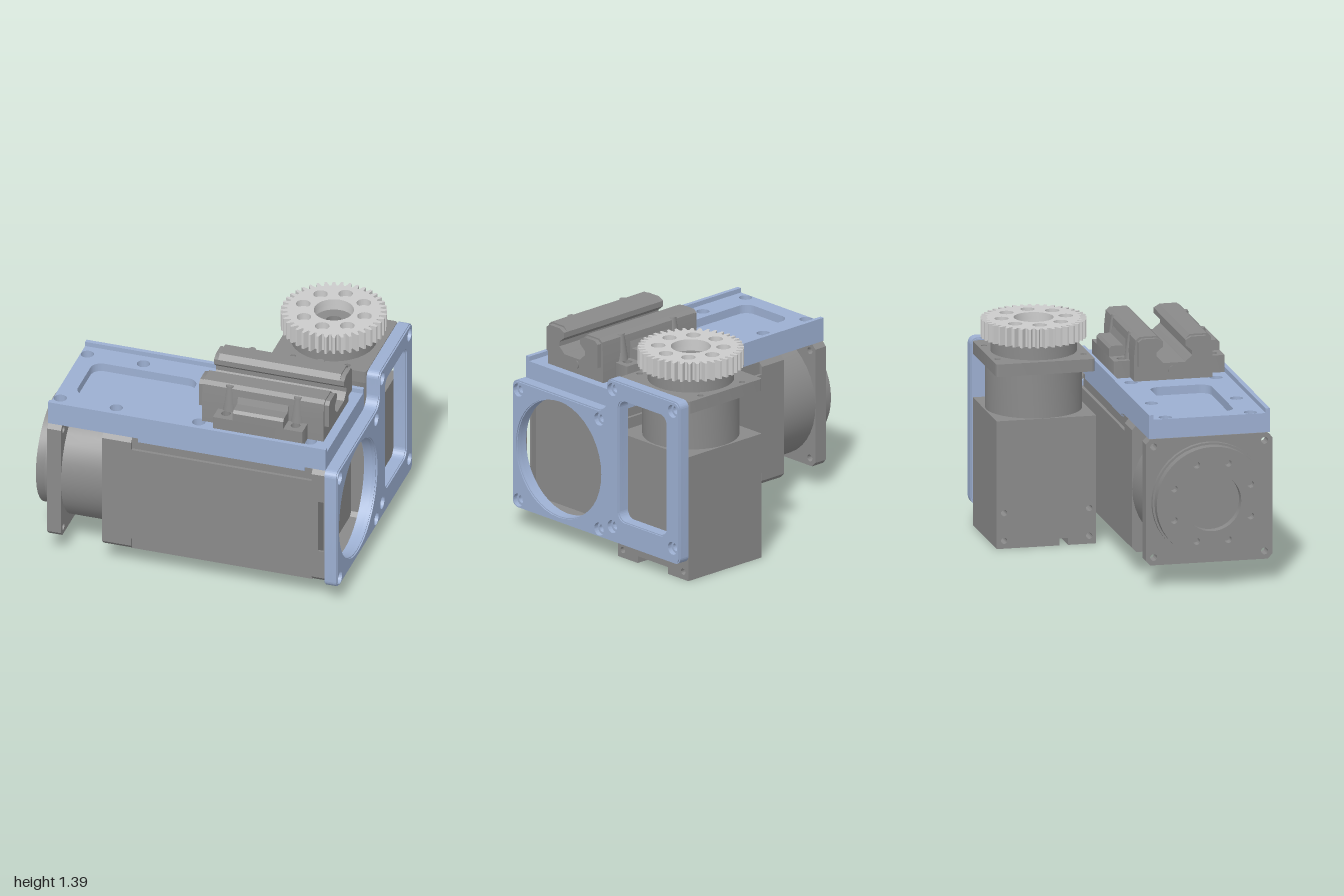
import * as THREE from 'three';
import { toCreasedNormals } from 'three/addons/utils/BufferGeometryUtils.js';

const grey = new THREE.MeshStandardMaterial({ color: 0x8a8a8a });
const light = new THREE.MeshStandardMaterial({ color: 0xcccccc });
const blue = new THREE.MeshStandardMaterial({ color: 0x9cafd1 });

// Shapes: [u, v] with u = -z (along x) or v = -z (along y)
const poly = pts => new THREE.Shape(pts.map(p => new THREE.Vector2(p[0], p[1])));
const ring = (u, v, r) => new THREE.Shape().absarc(u, v, r, 0, Math.PI * 2, false);
function rounded(u0, v0, u1, v1, r) {
  const s = new THREE.Shape();
  s.absarc(u1 - r, v0 + r, r, -Math.PI / 2, 0);
  s.absarc(u1 - r, v1 - r, r, 0, Math.PI / 2);
  s.absarc(u0 + r, v1 - r, r, Math.PI / 2, Math.PI);
  s.absarc(u0 + r, v0 + r, r, Math.PI, Math.PI * 1.5);
  return s;
}
const chamfered = (u0, v0, u1, v1, c) => poly([[u0 + c, v0], [u1 - c, v0], [u1, v0 + c], [u1, v1 - c],
  [u1 - c, v1], [u0 + c, v1], [u0, v1 - c], [u0, v0 + c]]);

function extrude(shape, depth, holes) {
  shape.holes = holes;
  const g = new THREE.ExtrudeGeometry(shape, { depth, bevelEnabled: false, curveSegments: 20 });
  return toCreasedNormals(g, 0.5);
}

export function createModel() {
  const model = new THREE.Group();
  const add = (parent, name, geo, mat = grey) => {
    const m = new THREE.Mesh(geo, mat);
    m.name = name;
    parent.add(m);
  };
  const group = name => {
    const g = new THREE.Group();
    g.name = name;
    model.add(g);
    return g;
  };
  const alongX = (p, name, shape, x0, x1, mat, holes = []) =>
    add(p, name, extrude(shape, x1 - x0, holes).rotateY(Math.PI / 2).translate(x0, 0, 0), mat);
  const alongY = (p, name, shape, y0, y1, mat, holes = []) =>
    add(p, name, extrude(shape, y1 - y0, holes).rotateX(-Math.PI / 2).translate(0, y0, 0), mat);
  const box = (p, name, x0, x1, y0, y1, z0, z1, mat) =>
    add(p, name, new THREE.BoxGeometry(x1 - x0, y1 - y0, z1 - z0)
      .translate((x0 + x1) / 2, (y0 + y1) / 2, (z0 + z1) / 2), mat);

  // End bracket with motor opening, window and counterbored screw holes
  const bracket = group('endBracket');
  const plate = e => {
    const s = new THREE.Shape(), r = 0.045;
    s.absarc(-0.755 + r, 0.128 + r, r - e, Math.PI, Math.PI * 1.5);
    s.absarc(0.755 - r, 0.128 + r, r - e, -Math.PI / 2, 0);
    s.absarc(0.755 - r, 1.2 - r, r - e, 0, Math.PI / 2);
    s.absarc(0.095 + r, 1.2 - r, r - e, Math.PI / 2, Math.PI);
    s.absarc(0.015, 1.05, 0.08 + e, 0, -Math.PI / 2, true);
    s.absarc(-0.755 + r, 0.97 - r, r - e, Math.PI / 2, Math.PI);
    return s;
  };
  const screws = [[-0.7, 0.908], [-0.7, 0.18], [0.03, 0.908], [0.03, 0.18],
    [0.15, 1.135], [0.15, 0.228], [0.695, 1.135], [0.695, 0.228]];
  const plateHoles = (r, grow) => [ring(-0.335, 0.547, 0.38 + grow),
    rounded(0.205 - grow, 0.285 - grow, 0.635 + grow, 1.082 + grow, 0.06),
    ...screws.map(([u, v]) => ring(u, v, r))];
  alongX(bracket, 'plateBackEdge', plate(0.008), 0.908, 0.916, blue, plateHoles(0.026, 0.006));
  alongX(bracket, 'plateInner', plate(0), 0.916, 0.965, blue, plateHoles(0.026, 0));
  alongX(bracket, 'plateOuter', plate(0), 0.965, 0.987, blue, plateHoles(0.042, 0));
  alongX(bracket, 'plateFrontEdge', plate(0.008), 0.987, 0.996, blue, plateHoles(0.042, 0.006));

  // Main motor lying along x, its long body notched at the four corners
  const motor = group('mainMotor');
  const cu = -0.33, cy = 0.55;
  const square = (h, c) => chamfered(cu - h, cy - h, cu + h, cy + h, c);
  const centred = pts => poly(pts.map(([u, v]) => [u + cu, v + cy]));
  alongX(motor, 'bodyShoulder', square(0.407, 0.03), -0.55, -0.36);
  const a = 0.405, b = 0.325, c = 0.385;
  alongX(motor, 'body', centred([[-c, -a], [c, -a], [c, -b], [a, -b], [a, b], [c, b], [c, a], [-c, a],
    [-c, b], [-a, b], [-a, -b], [-c, -b]]), -0.36, 0.82);
  // Hollow thin-walled end with a slot in its front wall
  const w = 0.392, slot = 0.18;
  alongX(motor, 'bodyEnd', square(a, 0.03), 0.82, 0.862, grey, [square(w, 0.025)]);
  alongX(motor, 'slottedEnd', centred([[-a, slot], [-a, 0.375], [-0.375, a], [0.375, a], [a, 0.375],
    [a, -0.375], [0.375, -a], [-0.375, -a], [-a, -0.375], [-a, -slot], [-w, -slot], [-w, -0.367],
    [-0.367, -w], [0.367, -w], [w, -0.367], [w, 0.367], [0.367, w], [-0.367, w], [-w, 0.367], [-w, slot]]),
    0.862, 0.9);
  alongX(motor, 'bodyRim', square(a, 0.03), 0.9, 0.908, grey, [square(w, 0.025)]);
  alongX(motor, 'gearHousing', ring(cu, cy, 0.405), -0.82, -0.55);
  const corners = [[-1, -1], [-1, 1], [1, -1], [1, 1]];
  alongX(motor, 'mountFlange', square(0.405, 0.03), -0.91, -0.82, grey,
    corners.map(([i, j]) => ring(cu + i * 0.355, cy + j * 0.355, 0.022)));
  alongX(motor, 'flangeStep', ring(cu, cy, 0.37), -0.94, -0.91);
  const bolts = [];
  for (let i = 0; i < 8; i++) {
    const t = (i + 0.5) * Math.PI / 4;
    bolts.push(ring(cu + 0.265 * Math.cos(t), cy + 0.265 * Math.sin(t), 0.022));
  }
  alongX(motor, 'outputRing', ring(cu, cy, 0.357), -1, -0.94, grey, [ring(cu, cy, 0.185), ...bolts]);

  // Mounting base over the motor: pocketed floor between two lips
  const base = group('mountingBase');
  const baseHoles = r => [-0.867, -0.5, 0.04, 0.77].flatMap(x => [ring(x, -0.06, r), ring(x, -0.605, r)]);
  const floor = () => poly([[-0.91, -0.72], [0.908, -0.72], [0.908, 0.055], [-0.91, 0.055]]);
  box(base, 'underside', -0.32, 0.77, 0.93, 0.96, -0.055, 0.72, blue);
  alongY(base, 'lowerFloor', floor(), 0.957, 1.025, blue, baseHoles(0.024));
  alongY(base, 'upperFloor', floor(), 1.025, 1.08, blue,
    [...baseHoles(0.041), rounded(-0.8, -0.525, -0.11, -0.135, 0.07)]);
  for (const x of [-0.867, -0.5, 0.04, 0.77])
    for (const z of [0.06, 0.605])
      add(base, 'baseScrew', new THREE.CylinderGeometry(0.024, 0.024, 0.03, 16).translate(x, 0.985, z));
  for (const [z0, z1] of [[-0.055, -0.027], [0.692, 0.72]])
    box(base, 'lip', -0.91, 0.908, 1.08, 1.11, z0, z1, blue);

  // Linear carriage: half profile mirrored about the rail channel
  const carriage = group('railCarriage');
  const mid = -0.335;
  const profile = half => poly([...half.map(([u, v]) => [mid + u, v]),
    ...half.slice().reverse().map(([u, v]) => [mid - u, v])]);
  const jaw = [[0.24, 1.345], [0.215, 1.365], [0.105, 1.365], [0.073, 1.335], [0.073, 1.3],
    [0.115, 1.265], [0.115, 1.235], [0.085, 1.21], [0.07, 1.195]];
  alongX(carriage, 'block', profile([[0.25, 1.08], [0.25, 1.25], ...jaw]), 0.055, 0.85);
  alongX(carriage, 'endSeals', profile([[0.23, 1.18], [0.23, 1.335], [0.205, 1.355], [0.11, 1.355],
    ...jaw.slice(3)]), 0.028, 0.88);
  for (const x of [0.055, 0.85])
    add(carriage, 'endPort', new THREE.CylinderGeometry(0.03, 0.03, 0.012, 20)
      .rotateZ(Math.PI / 2).translate(x, 1.14, 0.335));
  for (const s of [-1, 1]) {
    const [z0, z1] = [0.335 + s * 0.25, 0.335 + s * 0.355].sort((p, q) => p - q);
    alongY(carriage, 'boltFlange', rounded(0.16, -z1, 0.745, -z0, 0.004), 1.08, 1.19, grey,
      [0.225, 0.68].map(x => ring(x, -(0.335 + s * 0.29), 0.03)));
    for (const x of [0.225, 0.68])
      add(carriage, 'flangeBolt', new THREE.CylinderGeometry(0.03, 0.03, 0.07, 16)
        .translate(x, 1.117, 0.335 + s * 0.29));
    // Raised middle of each flange, with sloping shoulders
    const pad = [[0.25, 1.19], [0.355, 1.19], [0.355, 1.24], [0.338, 1.257], [0.265, 1.257], [0.25, 1.3]]
      .map(([d, y]) => [mid - s * d, y]);
    if (s > 0) pad.reverse();
    alongX(carriage, 'flangePad', poly(pad), 0.29, 0.62);
    // Tapered ribs beside the bolts
    for (const x of [0.23, 0.675])
      add(carriage, 'boltRib', new THREE.CylinderGeometry(0.025, 0.05, 0.17, 20)
        .translate(x, 1.275, 0.335 + s * 0.22));
  }

  // Upright drive motor: the foot is notched differently in each slice along x
  const drive = group('driveMotor');
  const gx = 0.587, gv = 0.43;
  const driveHoles = ys => ys.flatMap(y => [ring(0.15, y, 0.02), ring(0.695, y, 0.02)]);
  const foot = (u0, u1) => poly([[0.106, 0], [u0, 0], [u0, 0.045],
    [u1, 0.045], [u1, 0], [0.742, 0], [0.742, 0.82], [0.106, 0.82]]);
  alongX(drive, 'driveBodyBack', foot(0.285, 0.34), 0.275, 0.5, grey, driveHoles([0.05, 0.228]));
  alongX(drive, 'driveBodyMiddle', poly([[0.106, 0.045], [0.56, 0.045], [0.56, 0], [0.742, 0],
    [0.742, 0.82], [0.106, 0.82]]), 0.5, 0.68, grey, driveHoles([0.228]));
  alongX(drive, 'driveBodyFront', foot(0.285, 0.56), 0.68, 0.905, grey, driveHoles([0.05, 0.228]));
  alongY(drive, 'driveHousing', ring(gx, gv, 0.303), 0.82, 1.11);
  alongY(drive, 'driveFlange', rounded(0.272, 0.113, 0.902, 0.745, 0.02), 1.105, 1.185, grey,
    corners.map(([i, j]) => ring(gx + i * 0.178, gv + j * 0.275, 0.02)));
  alongY(drive, 'driveOutput', ring(gx, gv, 0.27), 1.185, 1.276);

  // Spur gear with lightening holes and a recessed hub
  const gear = group('spurGear');
  const teeth = 40, pts = [];
  for (let i = 0; i < teeth; i++)
    for (const [f, r] of [[-0.36, 0.29], [-0.14, 0.331], [0.14, 0.331], [0.36, 0.29]]) {
      const t = (i + f) / teeth * Math.PI * 2;
      pts.push([gx + r * Math.cos(t), gv + r * Math.sin(t)]);
    }
  const gearHoles = r => {
    const out = [];
    for (let i = 0; i < 8; i++) {
      const t = i * Math.PI / 4 - 0.05;
      out.push(ring(gx + 0.204 * Math.cos(t), gv + 0.204 * Math.sin(t), r));
    }
    return out;
  };
  alongY(gear, 'gearLower', poly(pts), 1.276, 1.35, light, [ring(gx, gv, 0.125), ...gearHoles(0.025)]);
  alongY(gear, 'gearUpper', poly(pts), 1.35, 1.395, light, [ring(gx, gv, 0.125), ...gearHoles(0.045)]);
  alongY(gear, 'hub', ring(gx, gv, 0.125), 1.276, 1.32, grey, [ring(gx, gv, 0.05)]);

  return model;
}
